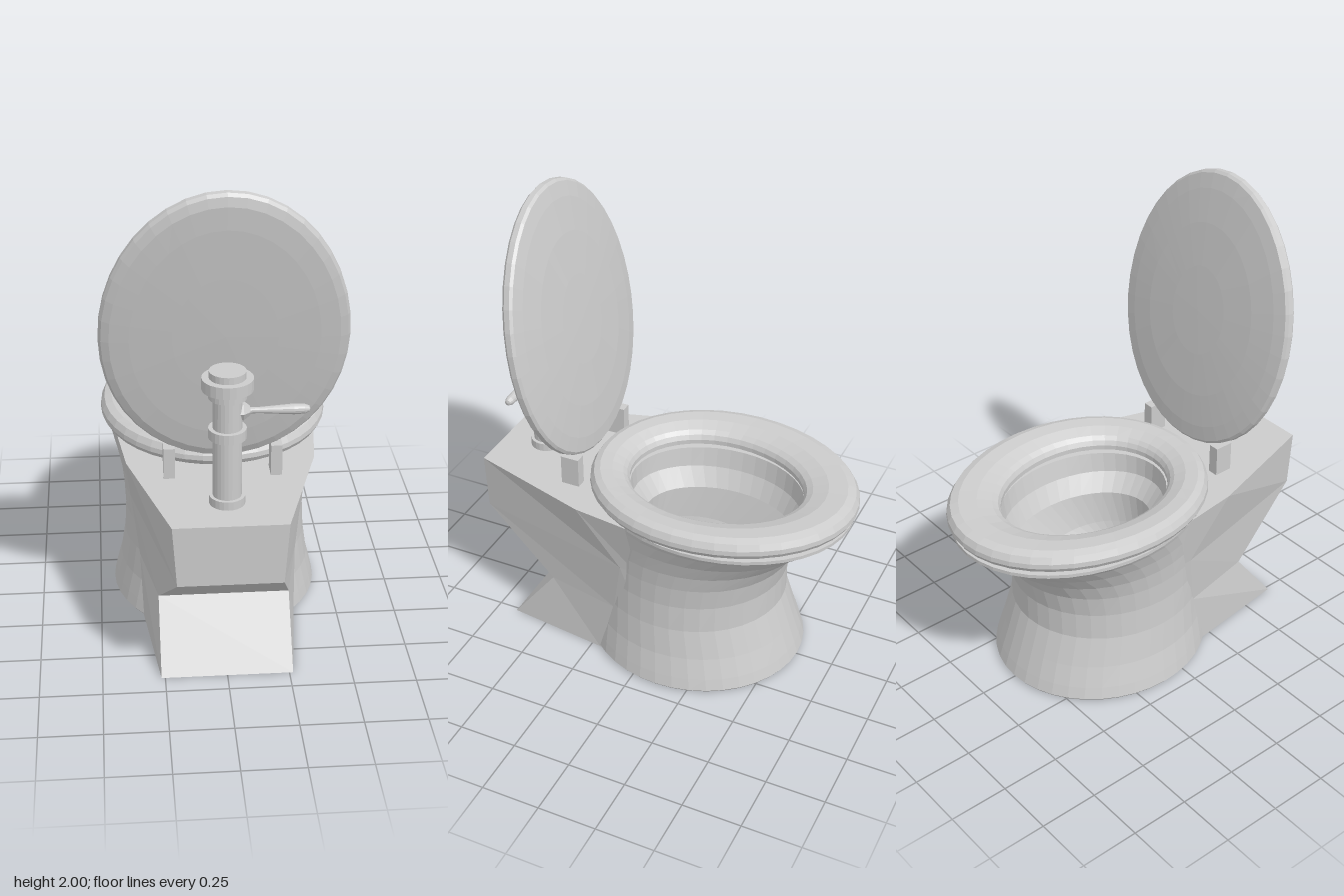
import * as THREE from 'three';

const mat = new THREE.MeshStandardMaterial({ color: 0xcccccc, flatShading: true, side: THREE.DoubleSide });

function add(parent, name, geometry, x = 0, y = 0, z = 0) {
  const mesh = new THREE.Mesh(geometry, mat);
  mesh.name = name;
  mesh.position.set(x, y, z);
  parent.add(mesh);
  return mesh;
}

function surface(pos, index) {
  const g = new THREE.BufferGeometry();
  g.setAttribute('position', new THREE.Float32BufferAttribute(pos, 3));
  g.setIndex(index);
  g.computeVertexNormals();
  return g;
}

// Skin over elliptical rings, each [y, half width, centre z, half depth].
// egg moves the widest point along z, as a share of the half depth.
function loft(rings, egg = 0, n = 40) {
  const pos = [], index = [];
  rings.forEach(([y, a, c, b], r) => {
    for (let i = 0; i < n; i++) {
      const t = (i / n) * Math.PI * 2;
      const shift = egg * b * Math.cos(t) ** 2;
      pos.push(a * Math.cos(t), y, c + b * Math.sin(t) + shift);
      if (r === rings.length - 1) continue;
      const p = r * n + i, q = r * n + (i + 1) % n;
      index.push(p, p + n, q, q, p + n, q + n);
    }
  });
  return surface(pos, index);
}

// Rear pedestal: rows of [y, rear z, rear x, mid z, mid x, front z, front x],
// running from the underside up; each row wraps round from -x to +x
function pedestalGeometry() {
  const rows = [
    [0, 0.05, 0.265, 0.05, 0.32, 0.05, 0.33],
    [0, 0.66, 0.265, 0.21, 0.32, 0.05, 0.335],
    [0.26, 0.46, 0.265, 0.13, 0.33, 0, 0.345],
    [0.515, 0.797, 0.205, 0.08, 0.362, 0, 0.365],
    [0.77, 0.797, 0.222, 0.27, 0.38, 0.03, 0.41],
  ];
  const pos = [], index = [];
  rows.forEach(([y, rz, rx, mz, mx, fz, fx], r) => {
    pos.push(-fx, y, fz, -mx, y, mz, -rx, y, rz, rx, y, rz, mx, y, mz, fx, y, fz);
    if (r === rows.length - 1) return;
    for (let i = r * 6; i < r * 6 + 5; i++) index.push(i, i + 1, i + 6, i + 1, i + 7, i + 6);
  });
  return surface(pos, index);
}

// Pedestal top with a notch around the bowl opening
function deckGeometry() {
  const s = new THREE.Shape();
  s.moveTo(0.41, -0.03);
  s.lineTo(0.38, -0.27);
  s.lineTo(0.222, -0.797);
  s.lineTo(-0.222, -0.797);
  s.lineTo(-0.38, -0.27);
  s.lineTo(-0.41, -0.03);
  s.lineTo(-0.26, 0);
  s.absellipse(0, 0.195, 0.3, 0.39, Math.PI * 7 / 6, Math.PI * 11 / 6, false);
  return new THREE.ShapeGeometry(s, 16).rotateX(-Math.PI / 2);
}

export function createModel() {
  const model = new THREE.Group();
  model.name = 'toilet';

  // Bowl: outside from the foot up to the rim, then the basin down to the drain
  add(model, 'bowl', loft([
    [0, 0, -0.115, 0], [0, 0.43, -0.115, 0.468], [0.01, 0.438, -0.115, 0.475], [0.06, 0.427, -0.11, 0.465],
    [0.15, 0.405, -0.1, 0.445], [0.28, 0.386, -0.085, 0.417], [0.4, 0.38, -0.085, 0.417],
    [0.5, 0.385, -0.095, 0.432], [0.58, 0.395, -0.115, 0.465], [0.66, 0.415, -0.155, 0.51],
    [0.73, 0.44, -0.21, 0.545], [0.75, 0.45, -0.23, 0.555], [0.765, 0.45, -0.23, 0.555],
    [0.765, 0.29, -0.195, 0.375], [0.68, 0.27, -0.195, 0.37], [0.6, 0.225, -0.205, 0.325],
    [0.45, 0.185, -0.12, 0.25], [0.3, 0.11, 0.035, 0.095], [0.15, 0.08, 0.085, 0.045], [0.15, 0, 0.085, 0],
  ]));

  add(model, 'pedestal', pedestalGeometry());
  add(model, 'pedestalTop', deckGeometry(), 0, 0.77, 0);

  // Seat ring
  add(model, 'seat', loft([
    [0.78, 0.29, -0.195, 0.375], [0.77, 0.44, -0.23, 0.535], [0.785, 0.465, -0.23, 0.56],
    [0.805, 0.476, -0.23, 0.572], [0.825, 0.474, -0.23, 0.57], [0.85, 0.46, -0.23, 0.555],
    [0.86, 0.43, -0.225, 0.525], [0.855, 0.37, -0.21, 0.46], [0.835, 0.32, -0.2, 0.405],
    [0.82, 0.3, -0.195, 0.385], [0.8, 0.29, -0.195, 0.375], [0.78, 0.29, -0.195, 0.375],
  ], 0.05));

  // Raised lid, domed on both faces
  const lid = add(model, 'lid', loft([
    [-0.046, 0, 0, 0], [-0.043, 0.2, 0, 0.25], [-0.037, 0.36, 0, 0.45], [-0.03, 0.435, 0, 0.54],
    [-0.018, 0.465, 0, 0.575], [-0.005, 0.475, 0, 0.585], [0.018, 0.475, 0, 0.583], [0.028, 0.465, 0, 0.572],
    [0.038, 0.41, 0, 0.51], [0.05, 0.3, 0, 0.37], [0.057, 0.15, 0, 0.19], [0.059, 0, 0, 0],
  ], -0.04), 0, 1.425, 0.468);
  lid.rotation.x = -Math.PI / 2 + 0.182;

  // Hinge posts
  for (const s of [-1, 1]) {
    add(model, 'hinge', new THREE.BoxGeometry(0.045, 0.135, 0.08), s * 0.212, 0.833, 0.37);
  }

  // Flush valve pipe with its collars and cap
  const valve = new THREE.Group();
  valve.name = 'flushValve';
  valve.position.z = 0.608;
  model.add(valve);
  for (const [name, r, y0, y1] of [
    ['pipe', 0.056, 0.77, 1.24], ['baseFlange', 0.07, 0.77, 0.805], ['collar', 0.073, 1.05, 1.09],
    ['neck', 0.073, 1.215, 1.255], ['capRing', 0.098, 1.25, 1.297], ['cap', 0.07, 1.29, 1.325],
  ]) {
    add(valve, name, new THREE.CylinderGeometry(r, r, y1 - y0, 24), 0, (y0 + y1) / 2, 0);
  }

  // Flush lever pointing to +x, with a hexagonal nut
  const turned = (points, sides) => new THREE.LatheGeometry(
    points.map(([r, x]) => new THREE.Vector2(r, x)), sides).rotateZ(-Math.PI / 2);
  add(valve, 'leverNut', turned([[0, 0.03], [0.037, 0.03], [0.037, 0.06], [0.018, 0.085], [0, 0.085]], 6), 0, 1.155, -0.005);
  add(valve, 'lever', turned([
    [0, 0.06], [0.012, 0.06], [0.012, 0.12], [0.016, 0.18], [0.021, 0.25], [0.019, 0.29], [0.012, 0.308], [0, 0.312],
  ], 14), 0, 1.155, -0.005);

  return model;
}
